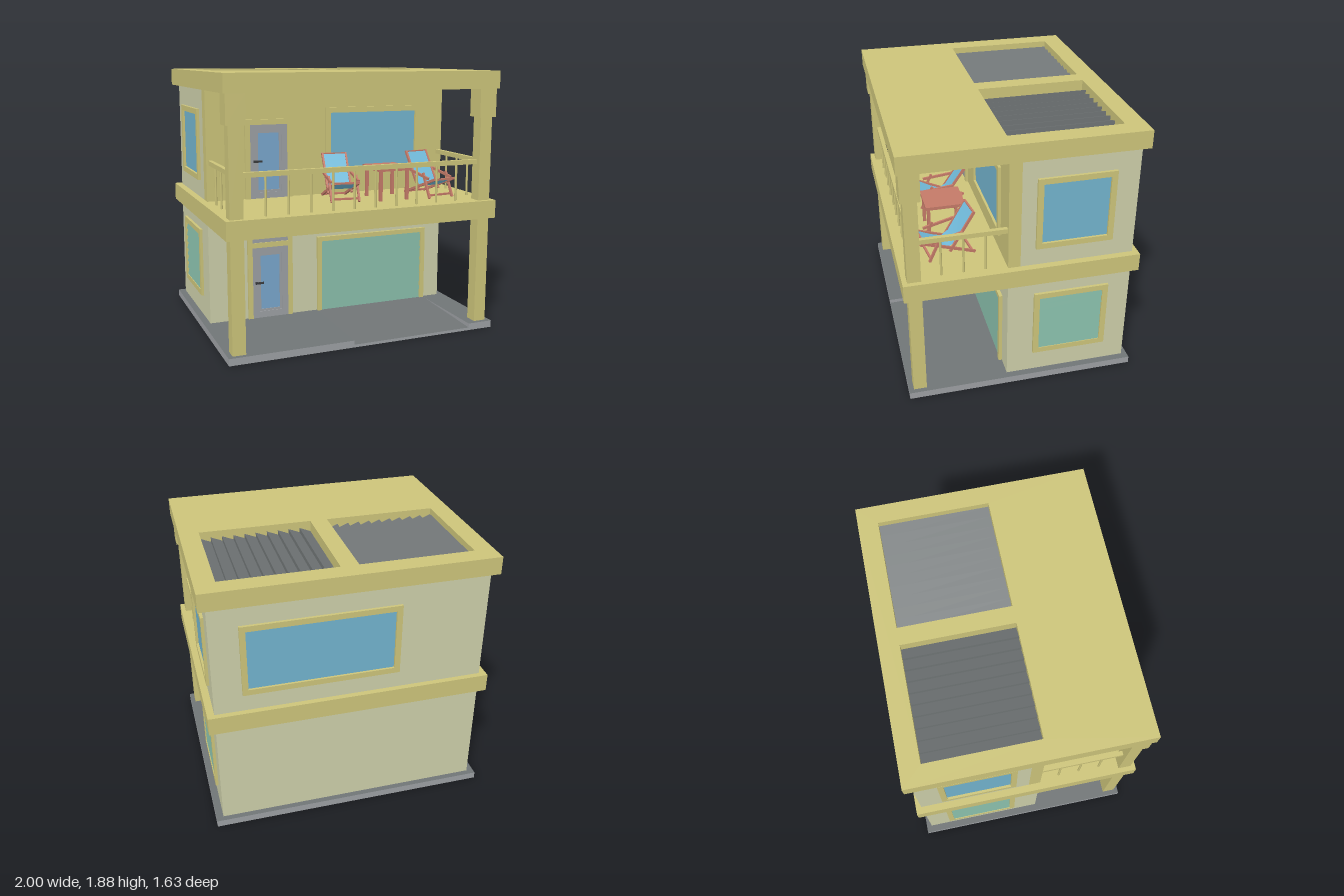
import * as THREE from 'three';

const mat = (name, color) => new THREE.MeshStandardMaterial({ name, color });

export function createModel() {
  const yellow = mat('yellow concrete', 0xccc47a);
  const plaster = mat('pale plaster', 0xcccea9);
  const glass = mat('window glass', 0x72b3cd);
  const green = mat('green slats', 0x82b5a2);
  const paleGrey = mat('slab grey', 0x9c9fa3);
  const darkGrey = mat('dark grey', 0x707576);
  const doorGlass = mat('door glass', 0x78a5cb);
  const wood = mat('red wood', 0xc47a68);
  const cloth = mat('chair cloth', 0x72bcdc);
  cloth.side = THREE.DoubleSide;
  const black = mat('handle black', 0x38393b);

  const house = new THREE.Group();
  house.name = 'house';

  const add = (parent, name, geo, material) => {
    const m = new THREE.Mesh(geo, material);
    m.name = name;
    parent.add(m);
    return m;
  };
  // Box given by its lower and upper limits on each axis
  const box = (parent, name, material, x0, x1, y0, y1, z0, z1) => {
    const m = add(parent, name, new THREE.BoxGeometry(x1 - x0, y1 - y0, z1 - z0), material);
    m.position.set((x0 + x1) / 2, (y0 + y1) / 2, (z0 + z1) / 2);
    return m;
  };
  const poly = (pts) => pts.map(([x, y]) => new THREE.Vector2(x, y));
  const rect = (x0, x1, y0, y1) => poly([[x0, y0], [x1, y0], [x1, y1], [x0, y1]]);
  const extrude = (shape, depth) => new THREE.ExtrudeGeometry(shape, { depth, bevelEnabled: false });

  // Rectangular border of width t; an open one has no bottom bar
  const frame = (parent, name, material, x0, x1, y0, y1, t, depth, open = false) => {
    let shape;
    if (open) {
      shape = new THREE.Shape(poly([[x0, y0], [x0 + t, y0], [x0 + t, y1 - t], [x1 - t, y1 - t],
        [x1 - t, y0], [x1, y0], [x1, y1], [x0, y1]]));
    } else {
      shape = new THREE.Shape(rect(x0, x1, y0, y1));
      shape.holes.push(new THREE.Path(rect(x0 + t, x1 - t, y0 + t, y1 - t)));
    }
    return add(parent, name, extrude(shape, depth), material);
  };
  // Sawtooth panel: teeth stacked along y, pointing to +x, width along z
  const slats = (parent, name, material, width, height, n, d) => {
    const s = height / n;
    const pts = [[-0.003, height], [-0.003, 0]];
    for (let i = 0; i < n; i++) pts.push([d, i * s], [0.002, (i + 1) * s]);
    const geo = extrude(new THREE.Shape(poly(pts)), width);
    geo.translate(0, 0, -width / 2);
    return add(parent, name, geo, material);
  };

  // Ground slab with a sunken drive
  const paved = [paleGrey, paleGrey, darkGrey, paleGrey, paleGrey, paleGrey];
  box(house, 'slabBottom', paved, -1, 1, 0, 0.02, -0.815, 0.815);
  box(house, 'slabBack', paved, -1, 1, 0.02, 0.05, -0.815, 0.13);
  box(house, 'slabRight', paved, -1, -0.11, 0.02, 0.05, 0.13, 0.815);
  box(house, 'slabLeft', paved, 0.81, 1, 0.02, 0.05, 0.13, 0.815);
  const ramp = add(house, 'driveRamp',
    extrude(new THREE.Shape(poly([[-0.815, 0.02], [-0.13, 0.02], [-0.13, 0.05]])), 0.92), darkGrey);
  ramp.rotation.y = Math.PI / 2;
  ramp.position.x = -0.11;

  // Storeys and floor slab
  const W = 0.95, F = 0.105, B = -0.775;
  box(house, 'lowerWalls', plaster, -W, W, 0.05, 0.83, B, F);
  box(house, 'upperWalls', plaster, -W, W, 0.96, 1.76, B, 0.02);
  box(house, 'upperFrontWall', yellow, -W, W, 0.96, 1.76, 0.02, F);
  box(house, 'balconySlab', yellow, -1, 1, 0.83, 0.96, -0.815, 0.815);

  // Roof slab with two openings holding ribbed panels
  const roof = new THREE.Shape(rect(-1, 1, -0.815, 0.815));
  for (const s of [-1, 1]) {
    const [a, b] = s > 0 ? [0.062, 0.862] : [-0.862, -0.062];
    roof.holes.push(new THREE.Path(rect(a, b, -0.1, 0.675)));
    const panel = slats(house, 'roofPanel', darkGrey, 0.775, 0.8, 10, 0.035);
    panel.rotation.set(0, s > 0 ? 0 : Math.PI, Math.PI / 2);
    panel.position.set(s * 0.862, 1.805, -0.2875);
  }
  const roofMesh = add(house, 'roof', extrude(roof, 0.125), yellow);
  roofMesh.rotation.x = -Math.PI / 2;
  roofMesh.position.y = 1.76;

  // Posts with capitals, and the side railings
  const baluster = (x, z) => add(house, 'baluster',
    new THREE.CylinderGeometry(0.008, 0.008, 0.265, 8), yellow).position.set(x, 1.0925, z);
  for (const s of [-1, 1]) {
    const sideBox = (name, x, w, y0, y1, z0, z1) =>
      box(house, name, yellow, s * x - w / 2, s * x + w / 2, y0, y1, z0, z1);
    sideBox('lowerPost', 0.92, 0.092, 0.05, 0.83, 0.69, 0.782);
    sideBox('upperPost', 0.92, 0.092, 0.96, 1.56, 0.69, 0.782);
    sideBox('capital', 0.92, 0.13, 1.56, 1.76, 0.67, 0.8);
    sideBox('sideRail', 0.92, 0.03, 1.222, 1.255, F, 0.69);
    for (const z of [0.25, 0.4, 0.55]) baluster(s * 0.92, z);
  }
  box(house, 'frontRail', yellow, -0.874, 0.874, 1.222, 1.255, 0.72, 0.75);
  for (let i = 0; i < 10; i++) baluster(-0.711 + i * 0.158, 0.735);

  // Groups whose local +z points out of each wall
  const wallGroup = (name, x, z, turn) => {
    const g = new THREE.Group();
    g.name = name;
    g.position.set(x, 0, z);
    g.rotation.y = turn;
    house.add(g);
    return g;
  };
  const front = wallGroup('frontOpenings', 0, F, 0);
  const back = wallGroup('backOpenings', 0, B, Math.PI);
  const left = wallGroup('leftOpenings', W, 0, Math.PI / 2);
  const right = wallGroup('rightOpenings', -W, 0, -Math.PI / 2);

  const windowUnit = (g, x0, x1, y0, y1) => {
    frame(g, 'windowFrame', yellow, x0, x1, y0, y1, 0.04, 0.02);
    box(g, 'windowPane', glass, x0 + 0.04, x1 - 0.04, y0 + 0.04, y1 - 0.04, 0, 0.003);
  };
  const shutter = (g, x0, x1, y0, y1, d) => {
    const m = slats(g, 'shutter', green, x1 - x0, y1 - y0, 8, d);
    m.rotation.y = -Math.PI / 2;
    m.position.set((x0 + x1) / 2, y0, 0);
  };
  windowUnit(front, -0.045, 0.745, 1.09, 1.61);
  windowUnit(back, -0.755, 0.335, 1.09, 1.61);
  for (const [g, x0] of [[left, 0.08], [right, -0.615]]) {
    const x1 = x0 + 0.535;
    windowUnit(g, x0, x1, 1.09, 1.61);
    frame(g, 'shutterFrame', yellow, x0, x1, 0.21, 0.72, 0.04, 0.02);
    shutter(g, x0 + 0.04, x1 - 0.04, 0.25, 0.68, 0.015);
  }

  // Garage door
  frame(front, 'garageFrame', yellow, -0.112, 0.81, 0.05, 0.63, 0.034, 0.024, true);
  shutter(front, -0.078, 0.776, 0.05, 0.596, 0.012);

  // Glazed doors with stepped grey rims
  const glazed = (name, x0, x1, y0, y1, rim) => {
    frame(front, name, paleGrey, x0, x1, y0, y1, rim, 0.014);
    const r = rim - 0.002;
    frame(front, name + 'Bead', paleGrey, x0 + r, x1 - r, y0 + r, y1 - r, 0.018, 0.008);
    box(front, name + 'Glass', doorGlass, x0 + rim, x1 - rim, y0 + rim, y1 - rim, 0, 0.003);
  };
  const handle = (y) => {
    box(front, 'handleStem', black, -0.605, -0.593, y - 0.007, y + 0.007, 0.014, 0.035);
    box(front, 'handleLever', black, -0.61, -0.548, y - 0.007, y + 0.007, 0.03, 0.042);
  };
  frame(front, 'lowerDoorFrame', yellow, -0.662, -0.314, 0.05, 0.795, 0.036, 0.02, true);
  box(front, 'transomBar', yellow, -0.626, -0.35, 0.59, 0.628, 0, 0.02);
  glazed('lowerDoor', -0.626, -0.35, 0.05, 0.59, 0.048);
  glazed('transom', -0.626, -0.35, 0.628, 0.759, 0.03);
  handle(0.325);
  frame(front, 'upperDoorFrame', yellow, -0.668, -0.31, 0.96, 1.537, 0.038, 0.02, true);
  glazed('upperDoor', -0.63, -0.348, 0.96, 1.499, 0.045);
  handle(1.235);

  // Balcony table
  const table = new THREE.Group();
  table.name = 'table';
  table.position.set(0.315, 0.96, 0.425);
  house.add(table);
  box(table, 'tableTop', wood, -0.13, 0.13, 0.215, 0.238, -0.14, 0.14);
  for (const x of [-0.105, 0.105]) for (const z of [-0.118, 0.118])
    box(table, 'tableLeg', wood, x - 0.011, x + 0.011, 0, 0.215, z - 0.011, z + 0.011);

  // Deck chairs: bars in the side plane, given as (z, y) ends
  const deckChair = (x, z, turn) => {
    const g = new THREE.Group();
    g.name = 'deckChair';
    g.position.set(x, 0.96, z);
    g.rotation.y = turn;
    house.add(g);
    const bar = (name, px, [z0, y0], [z1, y1]) => {
      const m = add(g, name, new THREE.BoxGeometry(0.014, 0.018, Math.hypot(z1 - z0, y1 - y0)), wood);
      m.position.set(px, (y0 + y1) / 2, (z0 + z1) / 2);
      m.rotation.x = -Math.atan2(y1 - y0, z1 - z0);
    };
    for (const s of [-1, 1]) {
      bar('seatRail', s * 0.088, [-0.18, 0.01], [0.185, 0.15]);
      bar('backRail', s * 0.088, [0.0, 0.05], [-0.175, 0.32]);
      bar('frontLeg', s * 0.102, [0.15, 0.008], [0.065, 0.185]);
      bar('armRest', s * 0.102, [0.13, 0.15], [-0.09, 0.19]);
    }
    for (const [y, z] of [[0.315, -0.172], [0.148, 0.18], [0.018, -0.16], [0.03, 0.14]])
      box(g, 'crossBar', wood, -0.095, 0.095, y - 0.007, y + 0.007, z - 0.007, z + 0.007);
    // Sagging cloth sheet swept across the chair
    const path = [[0.182, 0.155], [0.08, 0.105], [0.01, 0.08], [-0.04, 0.115], [-0.17, 0.322]];
    const sheet = new THREE.PlaneGeometry(0.164, 1, 1, path.length - 1);
    const p = sheet.attributes.position;
    for (let i = 0; i < p.count; i++) {
      const [cz, cy] = path[Math.floor(i / 2)];
      p.setXYZ(i, p.getX(i), cy, cz);
    }
    sheet.computeVertexNormals();
    sheet.scale(1, 1, 1);
    add(g, 'chairCloth', sheet, cloth);
  };
  deckChair(-0.035, 0.375, -0.13);
  deckChair(0.645, 0.465, 0.13);

  return house;
}
